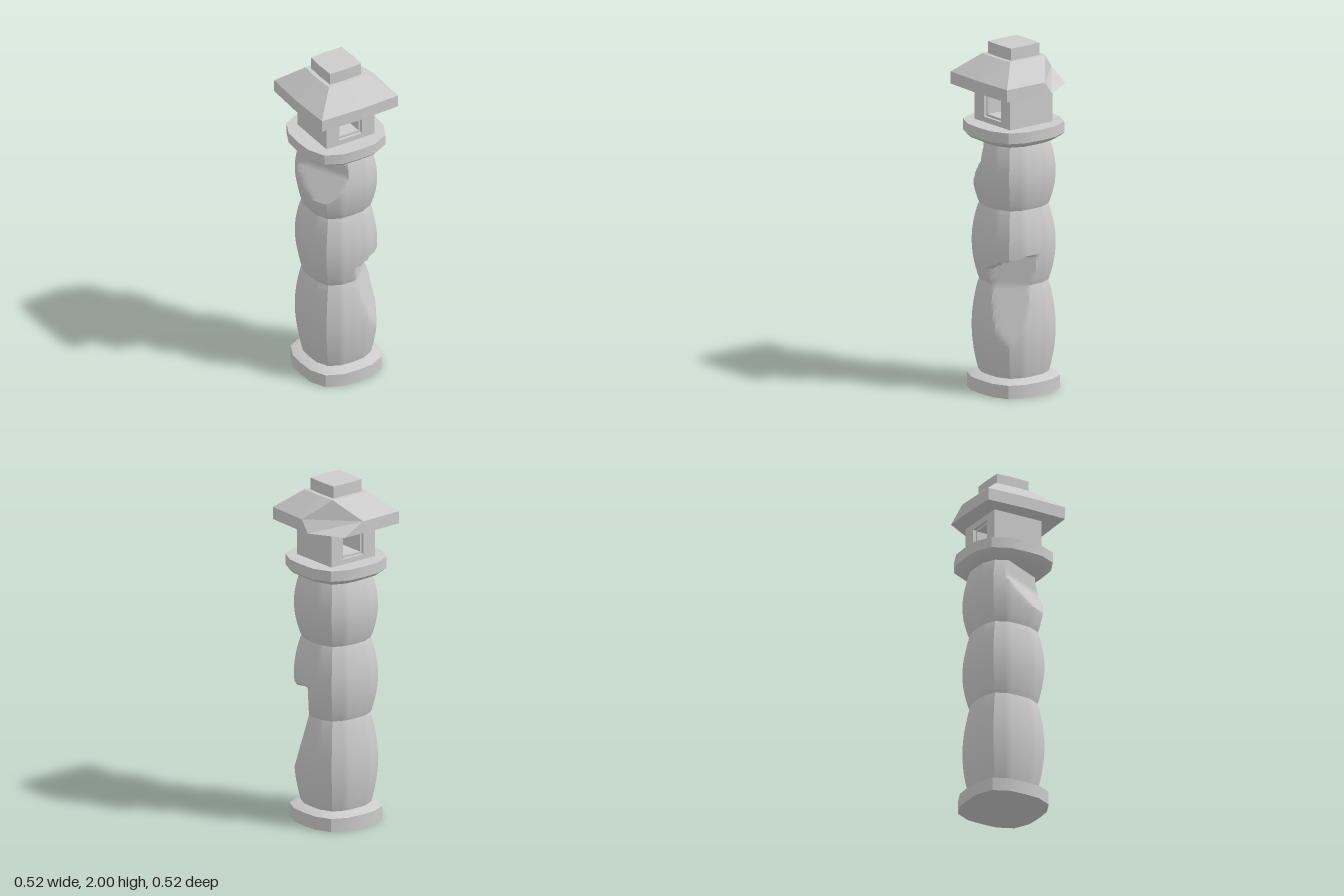
import * as THREE from 'three';
import { toCreasedNormals } from 'three/addons/utils/BufferGeometryUtils.js';

const material = new THREE.MeshStandardMaterial({ color: 0xcccccc });
const flatMaterial = new THREE.MeshStandardMaterial({ color: 0xcccccc, flatShading: true });

// Skin a stack of rings (arrays of [x, y, z], counter-clockwise from above) and close both ends
function loft(rings) {
  const n = rings[0].length, top = (rings.length - 1) * n;
  const points = rings.flat();
  const index = [];
  for (let i = 0; i < rings.length - 1; i++) {
    for (let j = 0; j < n; j++) {
      const a = i * n + j, b = i * n + (j + 1) % n;
      index.push(a, b, b + n, a, b + n, a + n);
    }
  }
  const bottomCentre = points.length, topCentre = bottomCentre + 1;
  points.push([0, rings[0][0][1], 0], [0, rings[rings.length - 1][0][1], 0]);
  for (let j = 0; j < n; j++) {
    const k = (j + 1) % n;
    index.push(bottomCentre, k, j, topCentre, top + j, top + k);
  }
  const geometry = new THREE.BufferGeometry();
  geometry.setAttribute('position', new THREE.Float32BufferAttribute(points.flat(), 3));
  geometry.setIndex(index);
  return geometry;
}

// Sixteen-sided rounded square, each side split into `split` pieces
function roundedRing(r, y, split = 1) {
  const corner = (k) => {
    const a = (k / 16) * Math.PI * 2, c = Math.cos(a), s = Math.sin(a);
    const d = r / Math.cbrt(Math.abs(c) ** 3 + Math.abs(s) ** 3);
    return [c * d, -s * d];
  };
  const ring = [];
  for (let k = 0; k < 16; k++) {
    const a = corner(k), b = corner(k + 1);
    for (let i = 0; i < split; i++) {
      const t = i / split;
      ring.push([a[0] + (b[0] - a[0]) * t, y, a[1] + (b[1] - a[1]) * t]);
    }
  }
  return ring;
}

// Slightly bowed square; p and q move the ends of the broken back corner
function bowedRing(mid, corner, y, p = corner, q = corner) {
  return [
    [mid, 0], [corner + (mid - corner) * (1 - q / corner), -q],
    [p, -corner - (mid - corner) * (1 - p / corner)], [0, -mid],
    [-corner, -corner], [-mid, 0], [-corner, corner], [0, mid], [corner, corner],
  ].map(([x, z]) => [x, y, z]);
}

// Pull a column point inwards where a piece has broken away
function chip([x, y, z]) {
  let s = 1;
  if (y < 0.72 + 0.38 * x) {
    const limit = 0.2 + Math.max(0, 0.63 - y) * 0.38;
    if (x + z > limit) s = limit / (x + z);
  }
  if (y > 1.1) {
    const limit = 0.14 + Math.max(0, 1.35 - y) * 0.6, reach = -x + 0.5 * z;
    if (reach > limit) s = limit / reach;
  }
  return [x * s, y, z * s];
}

// Rectangular frame with a rectangular opening, running along z
function windowBlock(w, y0, y1, holeW, h0, h1, depth) {
  const rect = (path, hw, a, b) => path.moveTo(-hw, a).lineTo(hw, a).lineTo(hw, b).lineTo(-hw, b).closePath();
  const shape = rect(new THREE.Shape(), w, y0, y1);
  shape.holes.push(rect(new THREE.Path(), holeW, h0, h1));
  return new THREE.ExtrudeGeometry(shape, { depth, bevelEnabled: false }).translate(0, 0, -depth / 2);
}

export function createModel() {
  const model = new THREE.Group();
  model.name = 'stoneLantern';
  const add = (name, geometry, mat = material) => {
    const mesh = new THREE.Mesh(geometry, mat);
    mesh.name = name;
    model.add(mesh);
  };
  const crease = (geometry) => toCreasedNormals(geometry, 0.55);

  // Foot
  add('base', crease(loft([
    roundedRing(0.232, 0), roundedRing(0.232, 0.077), roundedRing(0.185, 0.1),
  ])));

  // Column of three swelling drums with broken patches
  const joints = [0.09, 0.63, 1.07, 1.46];
  const rings = [];
  const steps = 24;
  for (let d = 0; d < 3; d++) {
    for (let i = d ? 1 : 0; i <= steps; i++) {
      const t = i / steps;
      const y = joints[d] + (joints[d + 1] - joints[d]) * t;
      rings.push(roundedRing(0.173 + 0.037 * Math.sin(Math.PI * t) ** 0.85, y, 4).map(chip));
    }
  }
  add('column', crease(loft(rings)));

  // Shelf under the lamp
  add('shelf', crease(loft([
    roundedRing(0.19, 1.445), roundedRing(0.235, 1.467), roundedRing(0.253, 1.485), roundedRing(0.253, 1.547),
  ])));

  // Lamp house with a see-through window and a recessed frame
  add('lampHouse', windowBlock(0.157, 1.54, 1.755, 0.075, 1.577, 1.713, 0.305), flatMaterial);
  add('windowFrame', windowBlock(0.08, 1.57, 1.72, 0.063, 1.59, 1.702, 0.27), flatMaterial);

  // Roof with one broken corner
  add('roof', loft([
    bowedRing(0.259, 0.25, 1.747, 0.145, 0.065),
    bowedRing(0.259, 0.25, 1.818, 0.015, 0.015),
    bowedRing(0.13, 0.124, 1.93),
  ]), flatMaterial);

  // Cap
  add('cap', loft([bowedRing(0.106, 0.102, 1.925), bowedRing(0.106, 0.102, 2)]), flatMaterial);

  return model;
}
